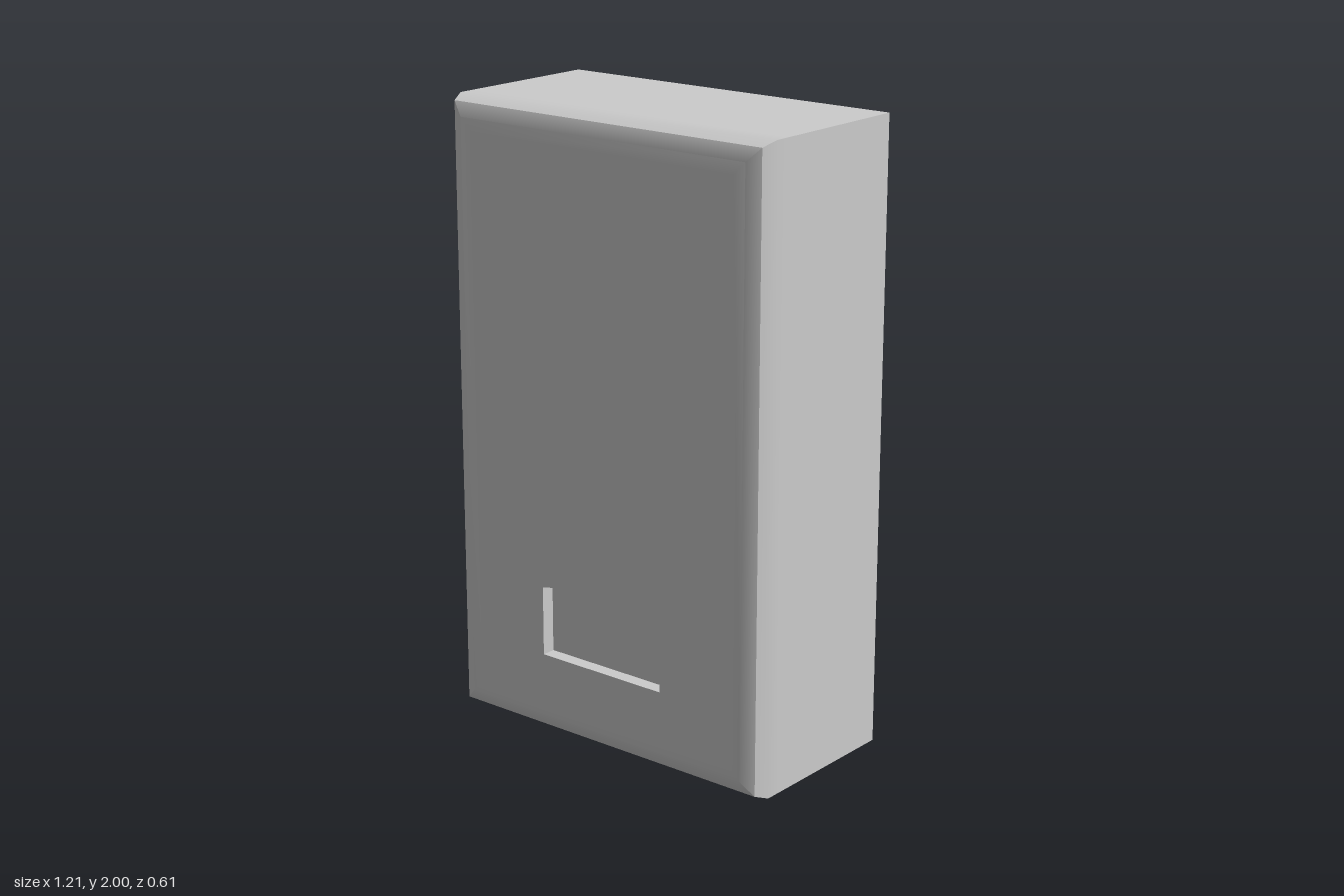
import * as THREE from 'three';
import { mergeGeometries, toCreasedNormals } from 'three/addons/utils/BufferGeometryUtils.js';

const HALF_W = 0.605, HEIGHT = 2, FRONT = 0.305, BACK = -0.305, RECESS = 0.26;

// Counter-clockwise rectangle, inset from the full outline
const rect = (inset) => [
  [-HALF_W + inset, inset], [HALF_W - inset, inset],
  [HALF_W - inset, HEIGHT - inset], [-HALF_W + inset, HEIGHT - inset],
];

// Skin a series of outlines, each placed at its own z
function loft(rings) {
  const pos = [];
  for (let r = 0; r < rings.length - 1; r++) {
    const [a, za] = rings[r], [b, zb] = rings[r + 1];
    a.forEach((p, i) => {
      const j = (i + 1) % a.length;
      const A = [...p, za], B = [...a[j], za], C = [...b[j], zb], D = [...b[i], zb];
      pos.push(...A, ...B, ...C, ...A, ...C, ...D);
    });
  }
  const g = new THREE.BufferGeometry();
  g.setAttribute('position', new THREE.Float32BufferAttribute(pos, 3));
  return toCreasedNormals(g, 0.5);
}

// Flat panel facing +z, with an optional opening
function panel(points, z, hole) {
  const toVec = (p) => new THREE.Vector2(p[0], p[1]);
  const shape = new THREE.Shape(points.map(toVec));
  if (hole) shape.holes.push(new THREE.Path(hole.map(toVec)));
  const g = new THREE.ShapeGeometry(shape).toNonIndexed();
  g.deleteAttribute('uv');
  return g.translate(0, 0, z);
}

export function createModel() {
  const group = new THREE.Group();
  group.name = 'cabinet';
  const material = new THREE.MeshStandardMaterial({ color: 0xcccccc });
  const add = (name, geometry) => {
    const mesh = new THREE.Mesh(geometry, material);
    mesh.name = name;
    group.add(mesh);
  };

  // Opening with a shallow peaked top
  const opening = [
    [-0.237, 0.265], [0.235, 0.265], [0.235, 0.49],
    [0.06, 0.53], [-0.06, 0.53], [-0.237, 0.49],
  ];

  // Case sides and the bevel around the front; the first and last bands keep shading tight
  add('caseSides', loft([
    [rect(0), BACK], [rect(0), 0.19], [rect(0), 0.24],
    [rect(0.017), 0.285], [rect(0.06), FRONT], [rect(0.1), FRONT],
  ]));
  add('backPanel', panel(rect(0), FRONT).rotateY(Math.PI));
  add('frontPanel', panel(rect(0.1), FRONT, opening));

  // Recessed pocket behind the opening
  add('recess', mergeGeometries([
    loft([[opening, FRONT], [opening, RECESS]]),
    panel(opening, RECESS),
  ]));
  return group;
}
